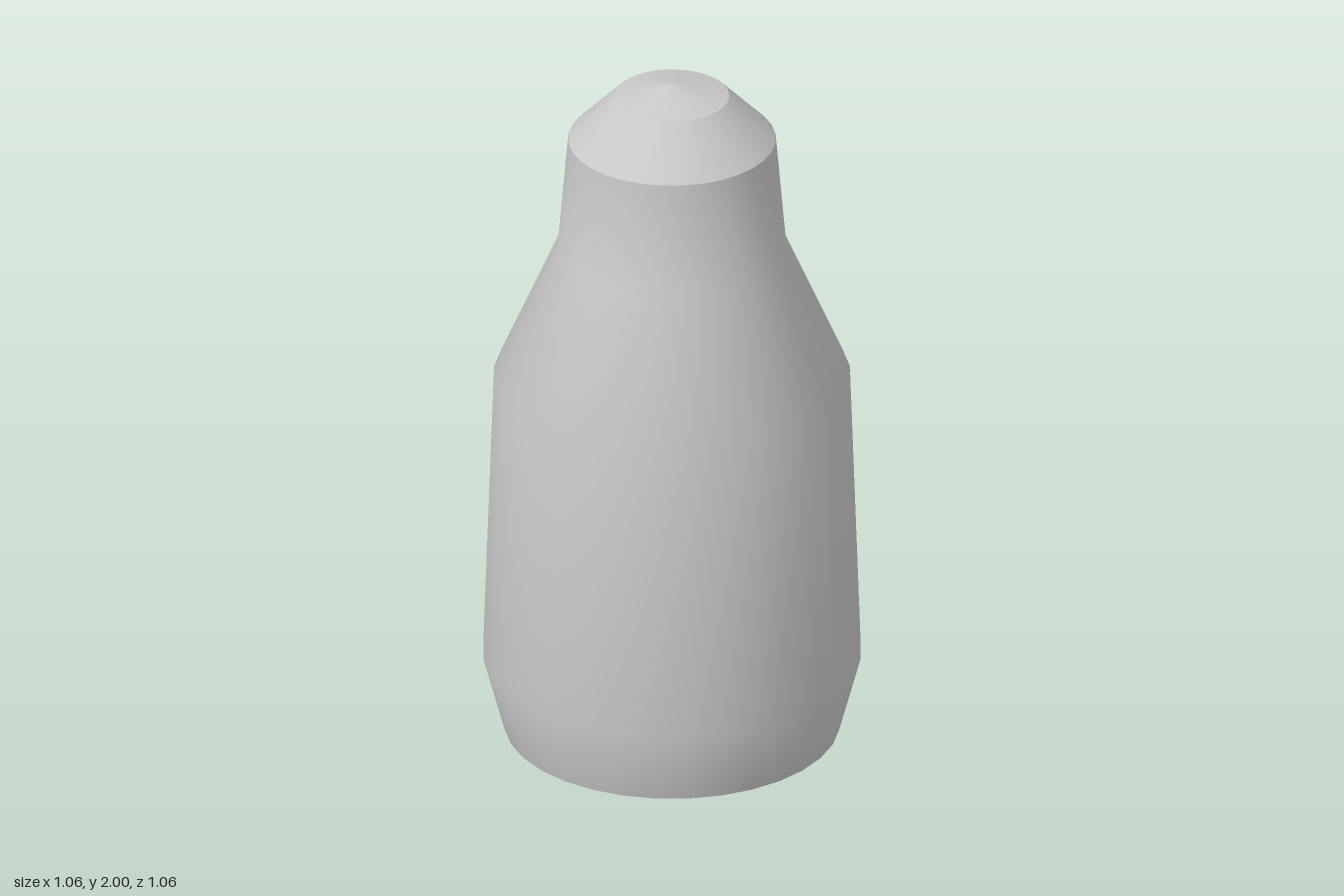
import * as THREE from 'three';

const SIDES = 32;

export function createModel() {
  const group = new THREE.Group();
  const grey = new THREE.MeshStandardMaterial({ color: 0xc8c8c8 });
  grey.name = 'light grey';

  // Each part is turned from its own profile, so edges between parts stay sharp
  function turned(name, profile) {
    const points = profile.map(([r, y]) => new THREE.Vector2(r, y));
    const mesh = new THREE.Mesh(new THREE.LatheGeometry(points, SIDES), grey);
    mesh.name = name;
    group.add(mesh);
  }

  // Flat underside
  turned('base', [[0, 0], [0.468, 0]]);
  // Bevelled foot, tapering body, shoulder and neck, shaded smooth
  turned('body', [[0.468, 0], [0.528, 0.225], [0.498, 1.09], [0.318, 1.505], [0.29, 1.828]]);
  // Sloping cap and its shallow tip
  turned('cap', [[0.29, 1.828], [0.16, 1.962]]);
  turned('capTip', [[0.16, 1.962], [0, 2]]);

  return group;
}
